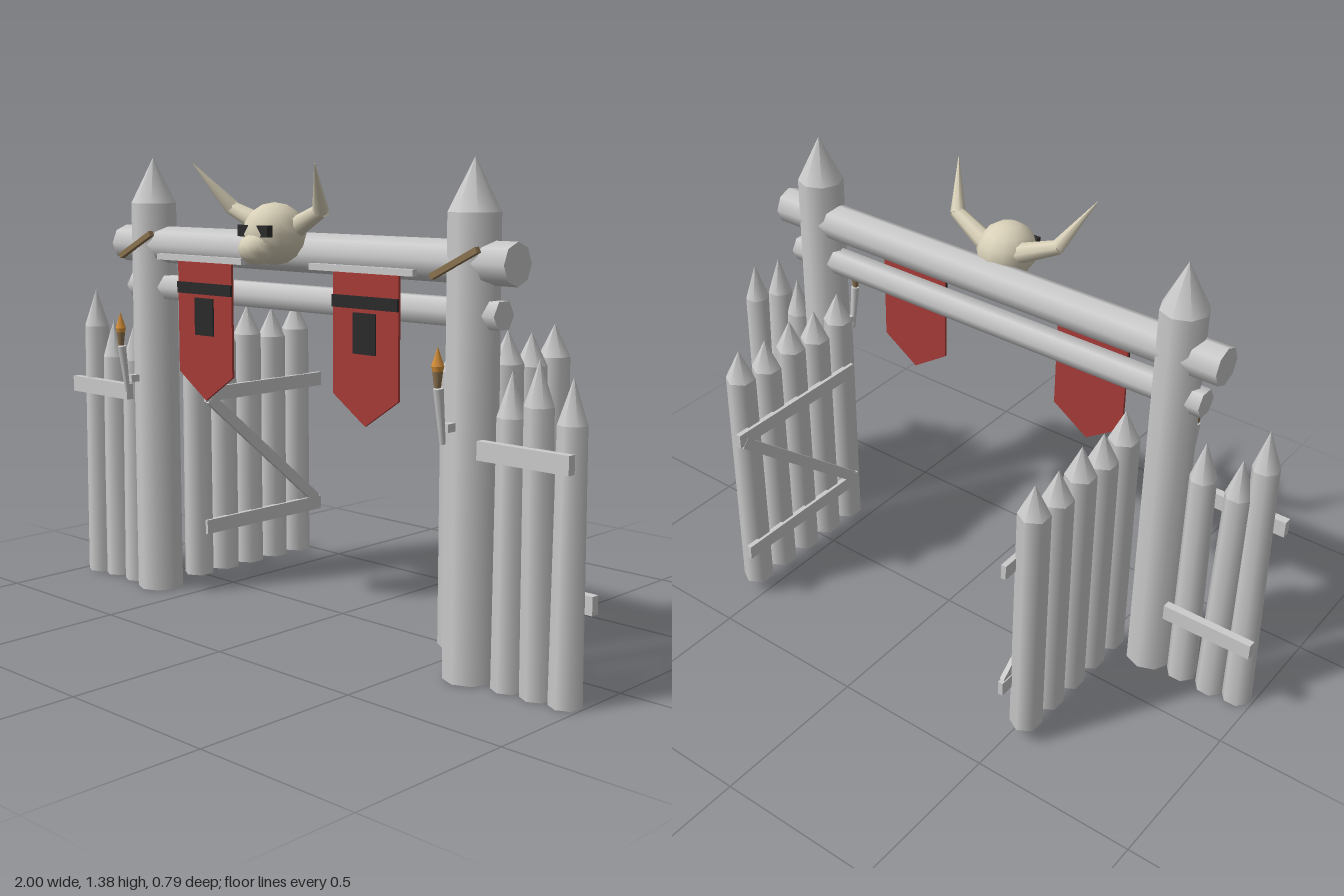
import * as THREE from 'three';

const mat = (color, side = THREE.FrontSide) => new THREE.MeshStandardMaterial({ color, side });
const GREY = mat(0xcccccc), BONE = mat(0xd8d0b8), DARK = mat(0x2b2b2b), ROPE = mat(0x8c7350);
const RED = mat(0xa83c38), FLAME = mat(0xd8923c);
const V = (x, y, z) => new THREE.Vector3(x, y, z);
const UP = V(0, 1, 0);

export function createModel() {
  const root = new THREE.Group();

  const add = (name, geo, material, x = 0, y = 0, z = 0, parent = root) => {
    const m = new THREE.Mesh(geo, material);
    m.name = name;
    m.position.set(x, y, z);
    parent.add(m);
    return m;
  };
  const box = (name, material, w, h, d, x, y, z, parent) =>
    add(name, new THREE.BoxGeometry(w, h, d), material, x, y, z, parent);

  // Tapered round bar between two points
  const bar = (name, material, a, b, ra, rb, sides, parent) => {
    const dir = b.clone().sub(a);
    const mid = a.clone().lerp(b, 0.5);
    const m = add(name, new THREE.CylinderGeometry(rb, ra, dir.length(), sides), material, mid.x, mid.y, mid.z, parent);
    m.quaternion.setFromUnitVectors(UP, dir.normalize());
    return m;
  };

  // Sharpened log from its foot to its tip
  const stake = (name, foot, tip, r0, r1, point, sides) => {
    const g = new THREE.Group();
    g.name = name;
    const dir = tip.clone().sub(foot), len = dir.length(), body = len - point;
    add('log', new THREE.CylinderGeometry(r1, r0, body, sides), GREY, 0, body / 2, 0, g);
    add('point', new THREE.ConeGeometry(r1, point, sides), GREY, 0, body + point / 2, 0, g);
    g.position.copy(foot);
    g.quaternion.setFromUnitVectors(UP, dir.normalize());
    root.add(g);
  };

  // Cross beams
  bar('mainBeam', GREY, V(-0.785, 1.107, 0.185), V(0.785, 1.107, 0.185), 0.057, 0.057, 8);
  bar('lowerBeam', GREY, V(-0.74, 0.975, 0.18), V(0.74, 0.975, 0.18), 0.042, 0.042, 6);

  // Palisade stakes: foot x, tip x, tip height, foot z, tip z
  [
    [-0.948, -0.927, 0.95, 0.19, 0.205], [-0.862, -0.875, 0.85, 0.18, 0.175], [-0.763, -0.755, 0.85, 0.18, 0.185],
    [0.772, 0.775, 0.84, 0.18, 0.185], [0.862, 0.87, 0.88, 0.175, 0.2], [0.952, 0.952, 0.84, 0.175, 0.17],
  ].forEach(([x0, x1, h, z0, z1]) => stake('palisadeStake', V(x0, 0, z0), V(x1, h, z1), 0.046, 0.04, 0.12, 7));

  for (const s of [-1, 1]) {
    // Gate post with its lashing
    stake('gatePost', V(s * 0.645, 0, 0.185), V(s * 0.645, 1.375, 0.185), 0.072, 0.07, 0.14, 8);
    box('lashing', ROPE, 0.168, 0.016, 0.016, s * 0.642, 1.107, 0.26).rotation.z = 0.46;

    // Palisade rails, one in front and one behind
    box('frontRail', GREY, 0.285, 0.05, 0.025, s * 0.857, 0.635, 0.24);
    box('backRail', GREY, 0.285, 0.05, 0.025, s * 0.857, 0.26, 0.125);

    // Open gate leaf
    for (let i = 0; i < 5; i++) {
      const z = 0.113 - i * 0.109;
      stake('gateStake', V(s * 0.535, 0.05, z), V(s * 0.535, i % 2 ? 0.887 : 0.903, z), 0.048, 0.046, 0.095, 6);
    }
    for (const y of [0.635, 0.207]) box('gateRail', GREY, 0.016, 0.045, 0.515, s * 0.492, y, -0.138);
    box('gateBrace', GREY, 0.014, 0.035, 0.62, s * 0.49, 0.421, -0.138).rotation.x = s * 0.7;

    // Banner with stripe, emblem patch and hanging rod
    const banner = new THREE.Group();
    banner.name = 'banner';
    banner.position.set(s * 0.328, 0, 0);
    root.add(banner);
    const cloth = new THREE.Shape([[-0.12, 1.065], [-0.12, 0.73], [0, 0.65], [0.12, 0.73], [0.12, 1.065]]
      .map(([x, y]) => new THREE.Vector2(x, y)));
    add('cloth', new THREE.ExtrudeGeometry(cloth, { depth: 0.008, bevelEnabled: false }), RED, 0, 0, 0.246, banner);
    box('stripe', DARK, 0.24, 0.034, 0.008, 0, 0.987, 0.255, banner);
    box('patch', DARK, 0.082, 0.112, 0.008, 0, 0.903, 0.255, banner);
    box('rod', GREY, 0.38, 0.018, 0.018, 0, 1.077, 0.27, banner);

    // Torch on its bracket
    const torch = new THREE.Group();
    torch.name = 'torch';
    torch.position.x = s * 0.645;
    root.add(torch);
    bar('handle', GREY, V(0, 0.65, 0.303), V(0, 0.795, 0.322), 0.008, 0.014, 6, torch);
    box('bracket', GREY, 0.022, 0.022, 0.03, 0, 0.69, 0.28, torch);
    bar('cup', ROPE, V(0, 0.797, 0.325), V(0, 0.84, 0.325), 0.009, 0.014, 6, torch);
    bar('flameBase', FLAME, V(0, 0.835, 0.325), V(0, 0.852, 0.325), 0.013, 0.017, 6, torch);
    add('flame', new THREE.ConeGeometry(0.017, 0.05, 6), FLAME, 0, 0.877, 0.325, torch);

    // Horn in two segments, and eye socket
    const elbow = V(s * 0.185, 1.232, 0.272);
    bar('hornBase', BONE, V(s * 0.06, 1.18, 0.25), elbow, 0.031, 0.021, 8);
    bar('hornTip', BONE, elbow.clone().lerp(V(s * 0.06, 1.18, 0.25), 0.06), V(s * 0.246, 1.357, 0.362), 0.023, 0.001, 8);
    box('eyeSocket', DARK, 0.042, 0.032, 0.02, s * 0.039, 1.172, 0.35);
  }

  // Skull
  add('skull', new THREE.SphereGeometry(0.088, 12, 8), BONE, 0, 1.162, 0.275).scale.z = 1.08;
  add('snout', new THREE.SphereGeometry(0.052, 10, 7), BONE, 0, 1.122, 0.345).scale.y = 0.85;

  return root;
}
